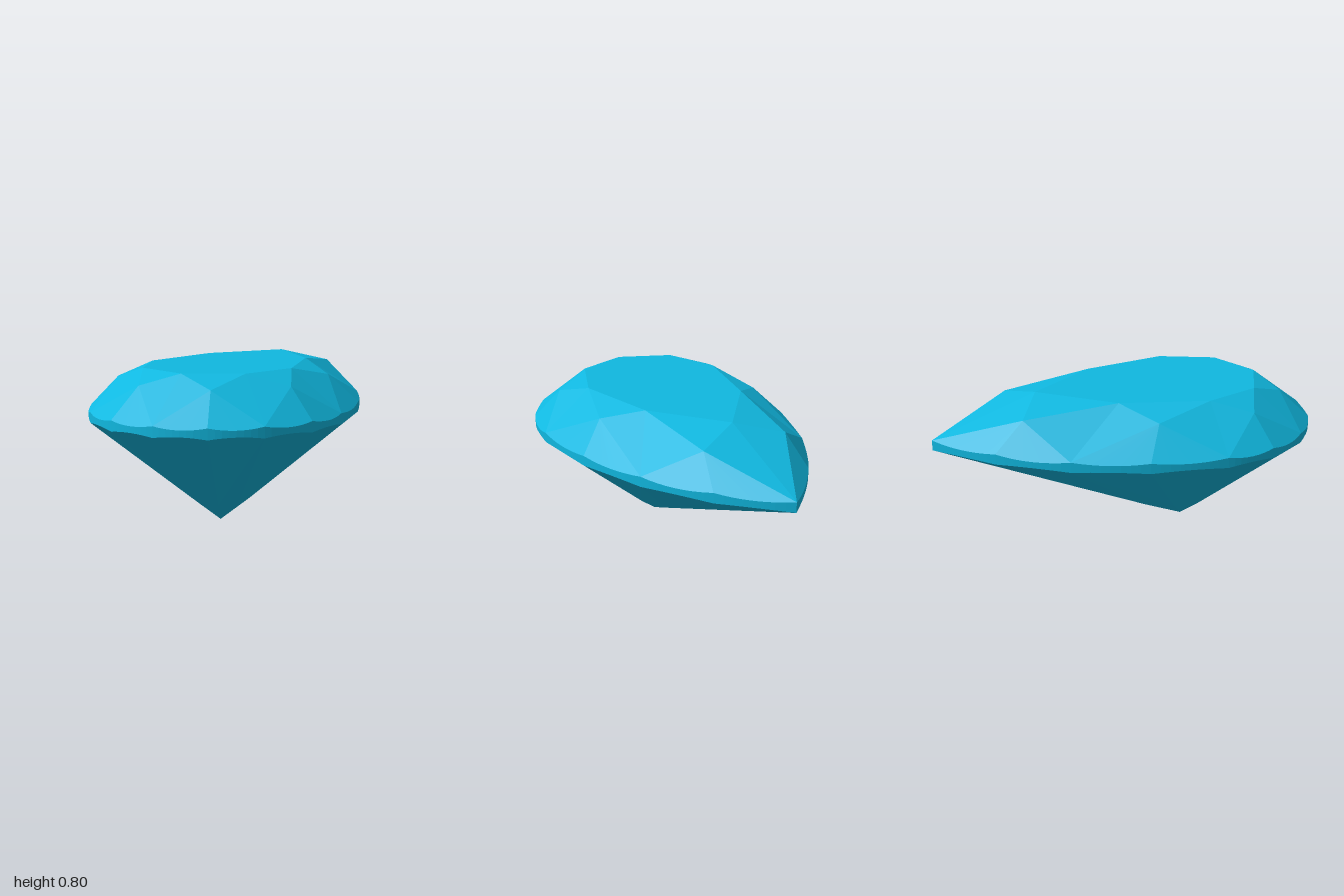
import * as THREE from 'three';

const CULET = new THREE.Vector3(0, 0, 0.33);
const NODES = 16;           // facet joints round the girdle (even = main, odd = between mains)
const STEPS = 8;            // curve subdivisions between two joints
const TOP = 0.795, GIRDLE_TOP = 0.594, GIRDLE_LOW = 0.541;

// Pear outline: half ellipse in front, two arcs meeting in a point at the back
function outline(u, y) {
  u = ((u % NODES) + NODES) % NODES;
  const side = u > 8 ? -1 : 1;
  const t = u > 8 ? NODES - u : u;
  if (t <= 4) {
    const a = (t / 4) * Math.PI / 2;
    return new THREE.Vector3(side * 0.64 * Math.sin(a), y, 0.33 + 0.67 * Math.cos(a));
  }
  const R = (1.33 ** 2 + 0.64 ** 2) / 1.28;
  const b = ((t - 4) / 4) * Math.asin(1.33 / R);
  return new THREE.Vector3(side * (R * Math.cos(b) - R + 0.64), y, 0.33 - R * Math.sin(b));
}

// Outline scaled towards the culet axis
function inner(u, k, y) {
  const p = outline(u, y);
  return p.set(p.x * k, y, CULET.z + (p.z - CULET.z) * k);
}

// Curve between joints i and i+1, lying in the plane of the facet with apex m
function facetEdge(i, y, m) {
  const a = outline(i, y), b = outline(i + 1, y);
  const n = new THREE.Plane().setFromCoplanarPoints(a, b, m).normal;
  return Array.from({ length: STEPS + 1 }, (_, s) => {
    const p = outline(i + s / STEPS, y);
    p.y = a.y - (n.x * (p.x - a.x) + n.z * (p.z - a.z)) / n.y;
    return p;
  });
}

function facetMesh(name, triangles, material) {
  const geometry = new THREE.BufferGeometry().setFromPoints(triangles);
  geometry.computeVertexNormals();
  const mesh = new THREE.Mesh(geometry, material);
  mesh.name = name;
  return mesh;
}

export function createModel() {
  const material = new THREE.MeshStandardMaterial({ color: 0x10b8e0, flatShading: true });
  const table = [], crown = [], girdle = [], pavilion = [];

  // Joints of the crown and pavilion between neighbouring main facets
  const crownScale = { 1: 0.76, 3: 0.785, 5: 0.775, 7: 0.86 };
  const crownJoint = (u) => {
    const v = (u + NODES) % NODES;
    return inner(v, crownScale[v > 8 ? NODES - v : v], 0.737);
  };
  const pavilionJoint = (u) => inner(u, 0.21, 0.106);
  const tableCorner = (u) => inner(u, 0.6, TOP);

  for (let u = 0; u < NODES; u += 2) {
    const t0 = tableCorner(u), t1 = tableCorner(u + 2);
    const before = crownJoint(u - 1), after = crownJoint(u + 1);
    const main = outline(u, GIRDLE_TOP), low = outline(u, GIRDLE_LOW);

    table.push(new THREE.Vector3(0, TOP, CULET.z), t0, t1);
    // Star facet and kite-shaped main facet
    crown.push(after, t1, t0);
    crown.push(before, main, t0, main, after, t0);
    // Kite-shaped main facet of the pavilion
    pavilion.push(CULET, low, pavilionJoint(u - 1), CULET, pavilionJoint(u + 1), low);
  }

  // Girdle facets above and below, with the scalloped band between them
  for (let i = 0; i < NODES; i++) {
    const odd = i % 2 ? i : i + 1;
    const up = crownJoint(odd), down = pavilionJoint(odd);
    const hi = facetEdge(i, GIRDLE_TOP, up);
    const lo = facetEdge(i, GIRDLE_LOW, down);
    for (let s = 0; s < STEPS; s++) {
      crown.push(hi[s], hi[s + 1], up);
      pavilion.push(lo[s + 1], lo[s], down);
      girdle.push(lo[s], lo[s + 1], hi[s + 1], lo[s], hi[s + 1], hi[s]);
    }
  }

  const gem = new THREE.Group();
  gem.name = 'pearCutGem';
  gem.add(
    facetMesh('table', table, material),
    facetMesh('crown', crown, material),
    facetMesh('girdle', girdle, material),
    facetMesh('pavilion', pavilion, material),
  );
  return gem;
}
